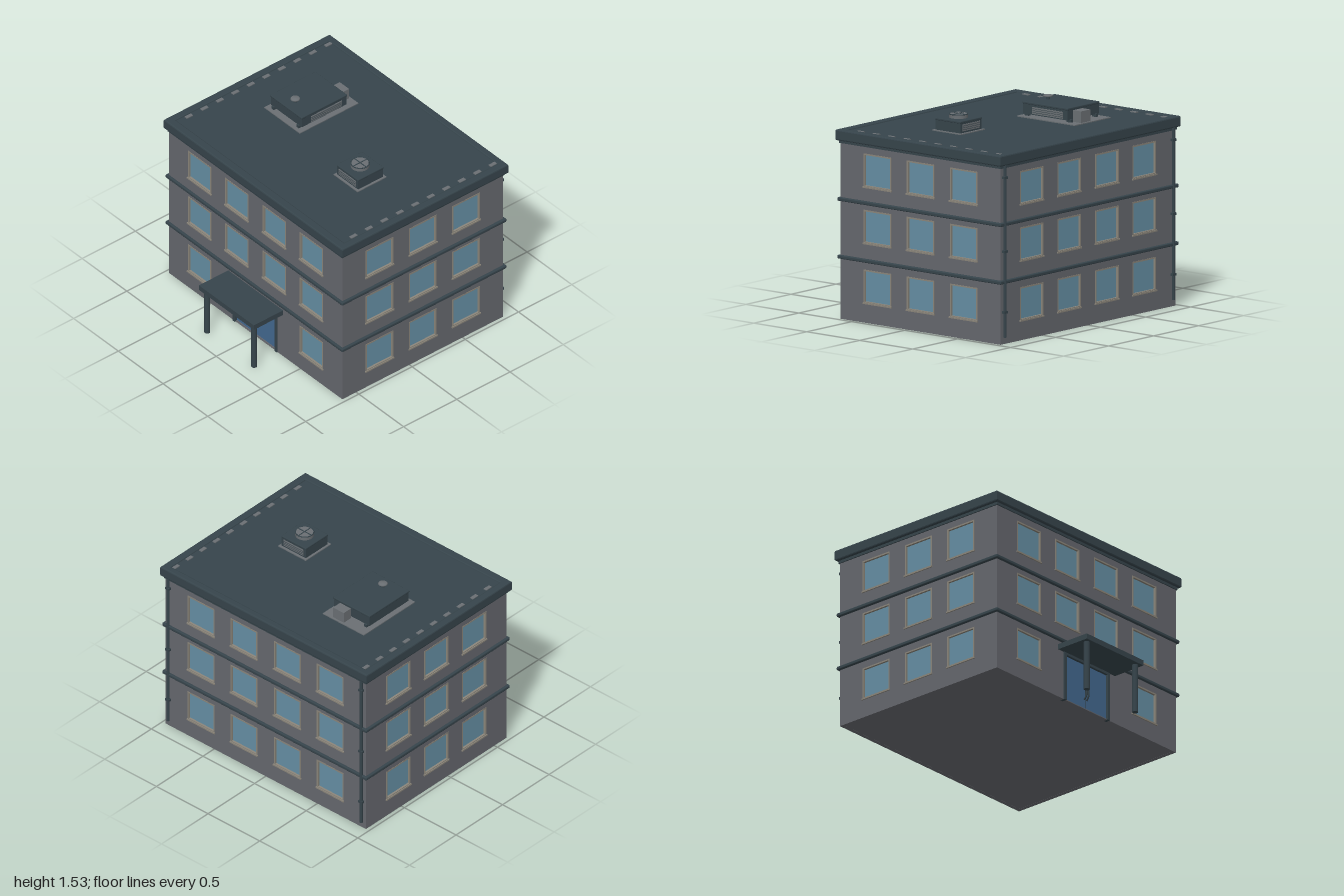
import * as THREE from 'three';
import { RoundedBoxGeometry } from 'three/addons/geometries/RoundedBoxGeometry.js';

const mat = (name, color) => new THREE.MeshStandardMaterial({ name, color });

export function createModel() {
  const wallGrey = mat('wall grey', 0x65676d);
  const slate = mat('dark slate', 0x36444b);
  const glass = mat('window glass', 0x658ea3);
  const beige = mat('frame beige', 0x8a857a);
  const doorBlue = mat('door blue', 0x43688f);
  const metal = mat('metal grey', 0x6a6f73);

  const root = new THREE.Group();
  root.name = 'officeBuilding';

  const add = (parent, name, geo, material, x = 0, y = 0, z = 0) => {
    const m = new THREE.Mesh(geo, material);
    m.name = name;
    m.position.set(x, y, z);
    parent.add(m);
    return m;
  };
  // Box given by its minimum and maximum corners
  const box = (parent, name, material, a, b, round = 0) => {
    const s = a.map((v, i) => b[i] - v);
    const geo = round ? new RoundedBoxGeometry(...s, 2, round) : new THREE.BoxGeometry(...s);
    return add(parent, name, geo, material, ...a.map((v, i) => (v + b[i]) / 2));
  };
  const cyl = (parent, name, material, r, h, x, y, z, n = 20) =>
    add(parent, name, new THREE.CylinderGeometry(r, r, h, n), material, x, y, z);
  const rect = (C, x0, y0, x1, y1) => {
    const s = new C();
    s.moveTo(x0, y0);
    s.lineTo(x1, y0);
    s.lineTo(x1, y1);
    s.lineTo(x0, y1);
    s.closePath();
    return s;
  };
  const extrude = (shape, depth, bevel = 0) => new THREE.ExtrudeGeometry(shape, {
    depth, bevelEnabled: bevel > 0, bevelSize: bevel, bevelThickness: bevel, bevelOffset: -bevel, bevelSegments: 2,
  });

  // Main dimensions
  const X = 0.97, ZF = 0.63, ZB = -0.88, ZC = (ZF + ZB) / 2, T = 0.03;
  const floors = [0.267, 0.705, 1.118], WW = 0.26, WH = 0.245, DW = 0.235, DH = 0.365;

  // One outward-facing wall with window openings, frames, sills and panes
  const frameShape = rect(THREE.Shape, -WW / 2, -WH / 2, WW / 2, WH / 2);
  frameShape.holes.push(rect(THREE.Path, -WW / 2 + 0.011, -WH / 2 + 0.011, WW / 2 - 0.011, WH / 2 - 0.011));
  const frameGeo = extrude(frameShape, 0.018);
  const paneGeo = new THREE.BoxGeometry(WW, WH, 0.008);
  const sillGeo = new THREE.BoxGeometry(WW + 0.01, 0.011, 0.024);

  function buildWall(name, width, columns, hasDoor) {
    const g = new THREE.Group();
    g.name = name;
    const shape = rect(THREE.Shape, -width / 2, 0, width / 2, 1.32);
    if (hasDoor) shape.holes.push(rect(THREE.Path, -DW, 0.002, DW, DH));
    floors.forEach((y, f) => columns.forEach((x) => {
      if (hasDoor && f === 0 && Math.abs(x) < 0.4) return;
      shape.holes.push(rect(THREE.Path, x - WW / 2, y - WH / 2, x + WW / 2, y + WH / 2));
      add(g, 'windowFrame', frameGeo, beige, x, y, -0.016);
      add(g, 'windowPane', paneGeo, glass, x, y, -0.018);
      add(g, 'windowSill', sillGeo, beige, x, y - WH / 2 - 0.001, -0.003);
    }));
    add(g, 'wall', extrude(shape, T), wallGrey, 0, 0, -T);
    root.add(g);
    return g;
  }
  const cols = [-0.625, -0.21, 0.21, 0.625], sideCols = [-0.407, 0, 0.407];
  buildWall('frontWall', 2 * X, cols, true).position.z = ZF;
  const back = buildWall('backWall', 2 * X, cols, false);
  back.position.z = ZB;
  back.rotation.y = Math.PI;
  for (const s of [-1, 1]) {
    const side = buildWall(s > 0 ? 'leftWall' : 'rightWall', ZF - ZB - 0.002, sideCols, false);
    side.position.set(s * X, 0, ZC);
    side.rotation.y = s * Math.PI / 2;
  }
  box(root, 'groundSlab', wallGrey, [-X + 0.005, 0.001, ZB + 0.005], [X - 0.005, 0.01, ZF - 0.005]);

  // Bands between floors and the moulding below the roof
  for (const y of [0.443, 0.866])
    box(root, 'floorBand', slate, [-0.99, y, ZB - 0.018], [0.99, y + 0.027, ZF + 0.018], 0.008);
  box(root, 'roofMoulding', slate, [-0.978, 1.29, ZB - 0.008], [0.978, 1.315, ZF + 0.008]);

  // Roof rim, deck and drain slots
  const rim = rect(THREE.Shape, -1, -0.655, 1, 0.905);
  rim.holes.push(rect(THREE.Path, -0.94, -0.588, 0.94, 0.85));
  const rimGeo = extrude(rim, 0.06, 0.01);
  rimGeo.rotateX(-Math.PI / 2);
  add(root, 'roofRim', rimGeo, slate, 0, 1.32, 0);
  box(root, 'roofDeck', slate, [-0.955, 1.315, -0.865], [0.955, 1.38, 0.603]);
  for (const s of [-1, 1]) for (let i = 0; i < 10; i++)
    add(root, 'roofDrainSlot', new THREE.BoxGeometry(0.028, 0.008, 0.058), metal, s * 0.92, 1.382, -0.825 + i * 0.1455);

  // Entrance: frame, double door and curved handles
  const door = new THREE.Group();
  door.name = 'entrance';
  root.add(door);
  for (const s of [-1, 1]) {
    box(door, 'doorLeaf', doorBlue, s > 0 ? [0.002, 0.004, 0.605] : [-DW, 0.004, 0.605], s > 0 ? [DW, DH, 0.618] : [-0.002, DH, 0.618]);
    box(door, 'doorJamb', slate, [s * 0.235 - 0.012, 0, 0.6], [s * 0.235 + 0.012, DH, 0.638]);
    const path = new THREE.CatmullRomCurve3([[0.012, 0.08, 0.618], [0.012, 0.1, 0.635], [0.009, 0.19, 0.641], [0.012, 0.285, 0.635], [0.012, 0.305, 0.618]]
      .map(([x, y, z]) => new THREE.Vector3(s * x, y, z)));
    add(door, 'doorHandle', new THREE.TubeGeometry(path, 20, 0.007, 8), slate);
    cyl(door, 'canopyPost', slate, 0.022, 0.38, s * 0.262, 0.19, 0.865);
  }
  box(door, 'doorGap', slate, [-0.003, 0.004, 0.606], [0.003, DH, 0.617]);
  box(door, 'doorLintel', slate, [-0.247, 0.356, 0.6], [0.247, 0.378, 0.638]);
  box(door, 'canopy', slate, [-0.307, 0.375, 0.62], [0.307, 0.416, 0.905]);

  // Drainpipes on the back corners
  for (const s of [-1, 1]) {
    cyl(root, 'drainPipe', slate, 0.012, 1.26, s * 0.935, 0.68, -0.892, 12);
    for (const y of [0.235, 0.68, 1.222])
      box(root, 'pipeBracket', slate, [s * 0.935 - 0.018, y - 0.009, -0.905], [s * 0.935 + 0.018, y + 0.009, -0.875]);
  }

  // Louvred panel facing +z, with slats
  function louvre(parent, w, h, x, y, z, turn) {
    const g = new THREE.Group();
    g.name = 'louvre';
    add(g, 'louvrePanel', new THREE.BoxGeometry(w, h, 0.006), metal);
    for (let i = 0; i < 3; i++)
      add(g, 'louvreSlat', new THREE.BoxGeometry(w, 0.003, 0.009), slate, 0, h * (i - 1) * 0.28, 0);
    g.position.set(x, y, z);
    g.rotation.y = turn;
    parent.add(g);
  }

  // Large roof unit on feet, with side box and mushroom vent
  const unit = new THREE.Group();
  unit.name = 'largeRoofUnit';
  root.add(unit);
  box(unit, 'basePlate', metal, [-0.648, 1.378, -0.545], [-0.25, 1.387, 0.005]);
  box(unit, 'body', slate, [-0.622, 1.405, -0.453], [-0.275, 1.482, -0.035]);
  box(unit, 'lid', slate, [-0.627, 1.478, -0.458], [-0.27, 1.495, -0.03], 0.005);
  for (const x of [-0.59, -0.31]) for (const z of [-0.445, -0.045])
    box(unit, 'foot', slate, [x - 0.012, 1.385, z - 0.02], [x + 0.012, 1.41, z + 0.02]);
  louvre(unit, 0.29, 0.05, -0.273, 1.438, -0.265, Math.PI / 2);
  box(unit, 'sideBox', metal, [-0.44, 1.385, -0.53], [-0.335, 1.472, -0.45]);
  cyl(unit, 'ventStem', slate, 0.016, 0.03, -0.45, 1.505, -0.12);
  const cap = [[0, 0], [0.03, 0], [0.036, 0.006], [0.03, 0.012], [0, 0.016]].map((p) => new THREE.Vector2(...p));
  add(unit, 'ventCap', new THREE.LatheGeometry(cap, 24), metal, -0.45, 1.514, -0.12);

  // Small roof unit with round fan
  const fan = new THREE.Group();
  fan.name = 'smallRoofUnit';
  root.add(fan);
  const fx = 0.41, fz = -0.007;
  box(fan, 'basePlate', metal, [fx - 0.134, 1.378, fz - 0.136], [fx + 0.134, 1.387, fz + 0.136]);
  box(fan, 'body', slate, [fx - 0.117, 1.385, fz - 0.117], [fx + 0.117, 1.465, fz + 0.117]);
  box(fan, 'lid', slate, [fx - 0.12, 1.458, fz - 0.12], [fx + 0.12, 1.475, fz + 0.12], 0.005);
  for (const s of [-1, 1]) louvre(fan, 0.19, 0.05, fx, 1.425, fz + s * 0.118, 0);
  cyl(fan, 'fanHousing', metal, 0.068, 0.03, fx, 1.488, fz, 32);
  add(fan, 'fanRing', new THREE.TorusGeometry(0.066, 0.004, 8, 32), slate, fx, 1.502, fz).rotation.x = Math.PI / 2;
  for (const [w, d] of [[0.13, 0.007], [0.007, 0.13]])
    add(fan, 'fanBar', new THREE.BoxGeometry(w, 0.006, d), slate, fx, 1.503, fz);
  return root;
}
